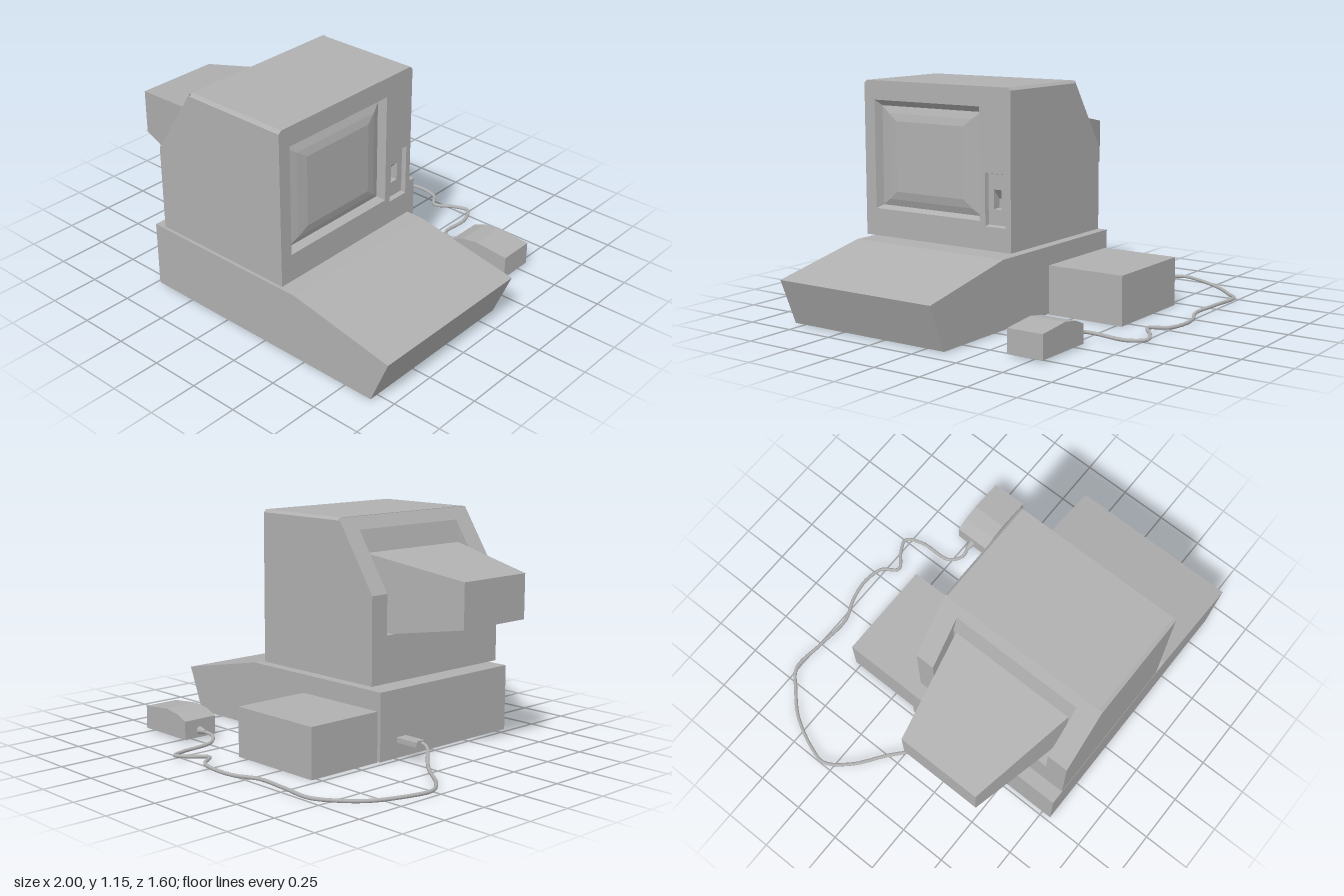
import * as THREE from 'three';

const plastic = new THREE.MeshStandardMaterial({ color: 0xb0b0b0 });
plastic.name = 'grey plastic';

function add(parent, name, geometry) {
  const mesh = new THREE.Mesh(geometry, plastic);
  mesh.name = name;
  parent.add(mesh);
  return mesh;
}

const toShape = (pts) => new THREE.Shape(pts.map(([x, y]) => new THREE.Vector2(x, y)));

// Side profile in x/y, extruded from z0 to z1
function slabZ(profile, z0, z1) {
  return new THREE.ExtrudeGeometry(toShape(profile), { depth: z1 - z0, bevelEnabled: false }).translate(0, 0, z0);
}

// Outline in z/y with optional holes, extruded from x0 to x1
function slabX(outline, x0, x1, holes = []) {
  const flip = (pts) => pts.map(([z, y]) => [-z, y]);
  const shape = toShape(flip(outline));
  shape.holes = holes.map((h) => new THREE.Path(flip(h).map(([x, y]) => new THREE.Vector2(x, y))));
  return new THREE.ExtrudeGeometry(shape, { depth: x1 - x0, bevelEnabled: false })
    .rotateY(Math.PI / 2).translate(x0, 0, 0);
}

const rect = (z0, z1, y0, y1) => [[z1, y0], [z0, y0], [z0, y1], [z1, y1]];

// Rectangular sections [x, z0, z1, y0, y1] joined by flat quads, the last one capped.
// Faces look towards +x, or towards -x when back is true.
function loft(sections, back = false) {
  const rings = sections.map(([x, ...r]) => {
    const ring = rect(...r).map(([z, y]) => [x, y, z]);
    return back ? ring.reverse() : ring;
  });
  const pos = [];
  const quad = (a, b, c, d) => pos.push(...a, ...b, ...c, ...a, ...c, ...d);
  for (let s = 0; s + 1 < rings.length; s++) {
    for (let i = 0; i < 4; i++) {
      const j = (i + 1) % 4;
      quad(rings[s][i], rings[s][j], rings[s + 1][j], rings[s + 1][i]);
    }
  }
  quad(...rings[rings.length - 1]);
  const g = new THREE.BufferGeometry();
  g.setAttribute('position', new THREE.Float32BufferAttribute(pos, 3));
  g.computeVertexNormals();
  return g;
}

function box(x0, x1, y0, y1, z0, z1) {
  return new THREE.BoxGeometry(x1 - x0, y1 - y0, z1 - z0)
    .translate((x0 + x1) / 2, (y0 + y1) / 2, (z0 + z1) / 2);
}

export function createModel() {
  const model = new THREE.Group();
  model.name = 'desktopTerminal';

  // Wedge base with the sloping keyboard deck
  add(model, 'base', slabZ([[-0.48, 0.01], [0.905, 0.01], [1, 0.24], [0.45, 0.35], [-0.48, 0.35]], -0.11, 0.8));

  // Monitor housing: chamfered main body and a front frame with two openings
  const monitor = new THREE.Group();
  monitor.name = 'monitor';
  model.add(monitor);
  const outline = [[0.8, 0.365], [-0.1, 0.365], [-0.1, 1.138], [-0.085, 1.152], [0.783, 1.152], [0.8, 1.138]];
  const screenRect = [0.083, 0.735, 0.505, 1.055];
  const driveRect = [-0.07, 0.05, 0.482, 0.74];
  add(monitor, 'housing', slabX(outline, -0.18, 0.3));
  add(monitor, 'frontFrame', slabX(outline, 0.3, 0.375, [rect(...screenRect), rect(...driveRect)]));

  // Sloped rear of the housing, with an open bay in the middle
  const rear = [[-0.41, 0.365], [-0.18, 0.365], [-0.18, 1.15], [-0.41, 0.8]];
  const bay = [[-0.41, 0.365], [-0.18, 0.365], [-0.18, 1.15], [-0.22, 1.09], [-0.25, 0.975], [-0.25, 0.6], [-0.41, 0.6]];
  add(monitor, 'rearSide', slabZ(rear, -0.1, 0));
  add(monitor, 'rearBay', slabZ(bay, 0, 0.69));
  add(monitor, 'rearSide', slabZ(rear, 0.69, 0.8));

  // Tapered picture tube cover
  add(monitor, 'tubeCover', loft([[-0.24, 0.015, 0.675, 0.575, 0.98], [-0.785, 0.125, 0.56, 0.66, 0.885]], true));

  // Bulging screen in its recess
  add(monitor, 'screenRecess', loft([[0.375, ...screenRect], [0.335, 0.1, 0.718, 0.52, 1.025]]));
  add(monitor, 'screen', loft([
    [0.335, 0.1, 0.718, 0.52, 1.025], [0.35, 0.145, 0.665, 0.555, 0.99], [0.36, 0.195, 0.61, 0.597, 0.952],
  ]));

  // Disk drive panel with a finger slot
  add(monitor, 'diskDrive', loft([
    [0.375, ...driveRect], [0.352, -0.066, 0.046, 0.488, 0.735],
    [0.352, -0.03, 0.015, 0.565, 0.66], [0.31, -0.028, 0.013, 0.567, 0.612],
  ]));

  // Power box behind the base
  add(model, 'powerBox', box(-0.46, 0.065, 0.005, 0.255, -0.53, -0.11));

  // Mouse
  add(model, 'mouse', slabZ(
    [[0.455, 0.015], [0.785, 0.015], [0.785, 0.133], [0.605, 0.15], [0.52, 0.137], [0.455, 0.11]], -0.56, -0.37));
  add(model, 'mouseCableSleeve', new THREE.CylinderGeometry(0.01, 0.021, 0.045, 10)
    .rotateZ(Math.PI / 2).translate(0.433, 0.05, -0.468));

  // Cable plug at the side of the base
  add(model, 'plug', box(-0.6, -0.48, 0.092, 0.113, 0.005, 0.065));
  add(model, 'plugEdge', box(-0.617, -0.49, 0.09, 0.115, -0.007, 0.006));

  // Mouse cable
  const path = [
    [0.42, 0.05, -0.468], [0.365, 0.04, -0.46], [0.305, 0.025, -0.515], [0.295, 0.015, -0.69],
    [0.25, 0.02, -0.775], [0.18, 0.025, -0.75], [0.09, 0.03, -0.69], [0.027, 0.027, -0.765],
    [-0.085, 0.025, -0.79], [-0.2, 0.02, -0.772], [-0.32, 0.022, -0.727], [-0.51, 0.025, -0.74],
    [-0.69, 0.025, -0.752], [-0.78, 0.018, -0.68], [-0.885, 0.018, -0.57], [-0.97, 0.025, -0.4],
    [-0.99, 0.028, -0.3], [-0.91, 0.022, -0.185], [-0.75, 0.025, -0.06], [-0.67, 0.04, 0.015],
    [-0.64, 0.085, 0.045], [-0.59, 0.102, 0.055],
  ].map((p) => new THREE.Vector3(...p));
  add(model, 'cable', new THREE.TubeGeometry(new THREE.CatmullRomCurve3(path), 160, 0.009, 8));

  return model;
}
